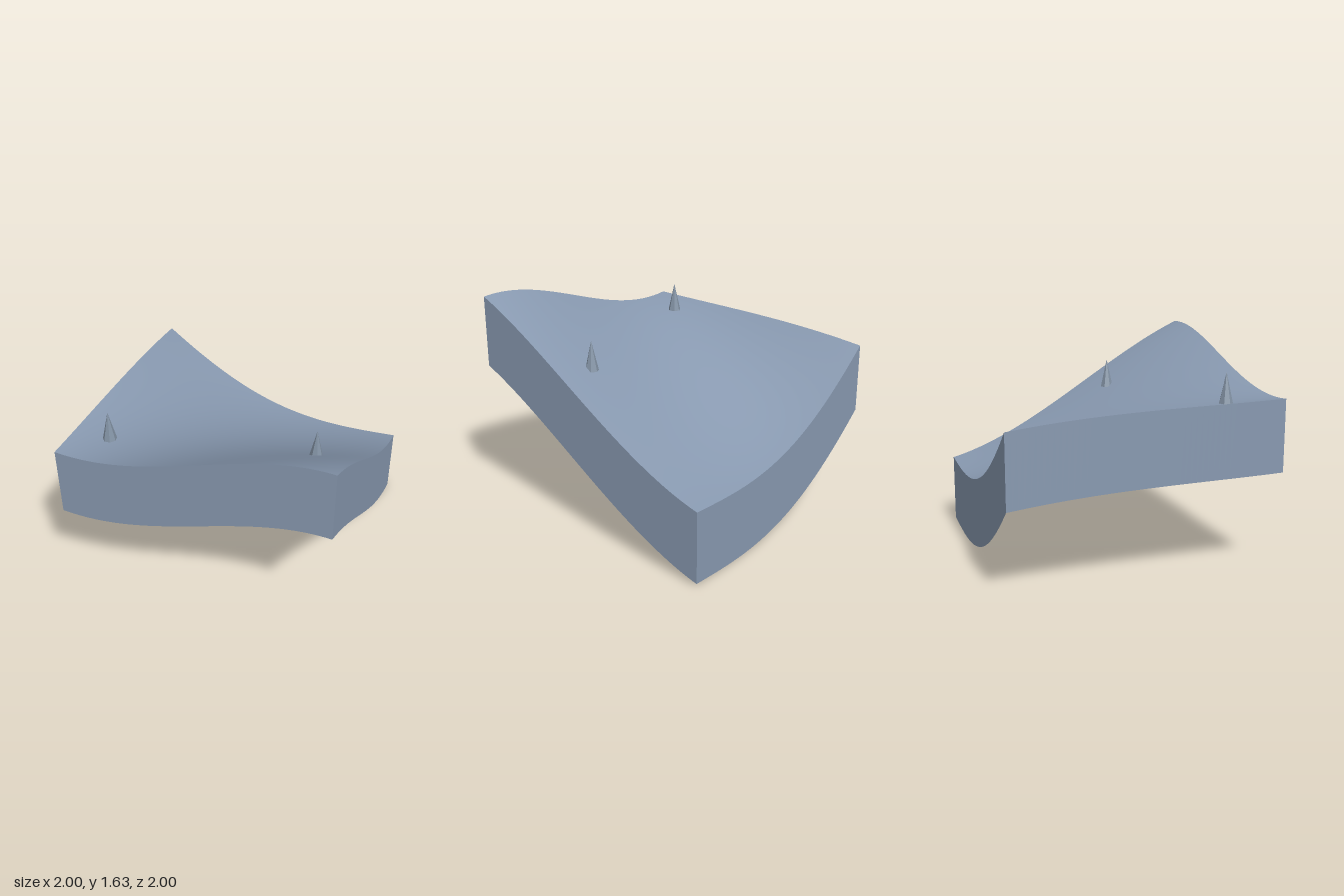
import * as THREE from 'three';

const SKIRT = 0.53;

// Smooth curve through five evenly spaced heights, s from -1 to 1
function curve(a, s) {
  let sum = 0;
  for (let i = 0; i < 5; i++) {
    let w = a[i];
    for (let j = 0; j < 5; j++) if (j !== i) w *= ((s + 1) * 2 - j) / (i - j);
    sum += w;
  }
  return sum;
}

// Heights along the four borders of the sheet
const front = [1.28, 1.30, 1.435, 1.587, 1.635];
const back = [1.18, 0.835, 0.618, 0.54, 0.552];
const left = [0.552, 0.75, 1.045, 1.365, 1.635]; // x = 1, from back to front
const right = [1.18, 1.23, 1.255, 1.267, 1.28]; // x = -1, from back to front

// Blend of the borders, sagging a little in the middle
function height(x, z) {
  const u = (x + 1) / 2, v = (z + 1) / 2;
  const lerp = THREE.MathUtils.lerp;
  const alongZ = lerp(curve(back, x), curve(front, x), v);
  const alongX = lerp(curve(right, z), curve(left, z), u);
  const corners = lerp(lerp(back[0], back[4], u), lerp(front[0], front[4], u), v);
  return alongZ + alongX - corners - 0.08 * (1 - x * x) * (1 - z * z);
}

export function createModel() {
  const group = new THREE.Group();
  const slate = new THREE.MeshStandardMaterial({ color: 0x8899b0, side: THREE.DoubleSide });
  const spikeMaterial = new THREE.MeshStandardMaterial({ color: 0x8494a6, flatShading: true });
  slate.name = 'slate blue';
  spikeMaterial.name = 'spike grey blue';

  const add = (name, geometry, material) => {
    const mesh = new THREE.Mesh(geometry, material);
    mesh.name = name;
    group.add(mesh);
    return mesh;
  };

  // Rolling ground surface
  const ground = new THREE.PlaneGeometry(2, 2, 48, 48).rotateX(-Math.PI / 2);
  const p = ground.attributes.position;
  for (let i = 0; i < p.count; i++) p.setY(i, height(p.getX(i), p.getZ(i)));
  ground.computeVertexNormals();
  add('groundSurface', ground, slate);

  // Skirt walls hanging from each border, open underneath
  ['frontSkirt', 'leftSkirt', 'backSkirt', 'rightSkirt'].forEach((name, k) => {
    const wall = new THREE.PlaneGeometry(2, 1, 48, 1).translate(0, 0, 1).rotateY(k * Math.PI / 2);
    const q = wall.attributes.position;
    for (let i = 0; i < q.count; i++) {
      const top = height(q.getX(i), q.getZ(i));
      q.setY(i, q.getY(i) > 0 ? top : top - SKIRT);
    }
    add(name, wall, slate);
  });

  // Small spikes standing on the ground
  [[-0.75, 0.66, 1.45], [0.665, 0.25, 1.37]].forEach(([x, z, tip]) => {
    const spike = add('spike', new THREE.ConeGeometry(0.051, 0.225, 7), spikeMaterial);
    spike.position.set(x, tip - 0.1125, z);
    spike.rotation.y = Math.PI;
  });

  return group;
}
